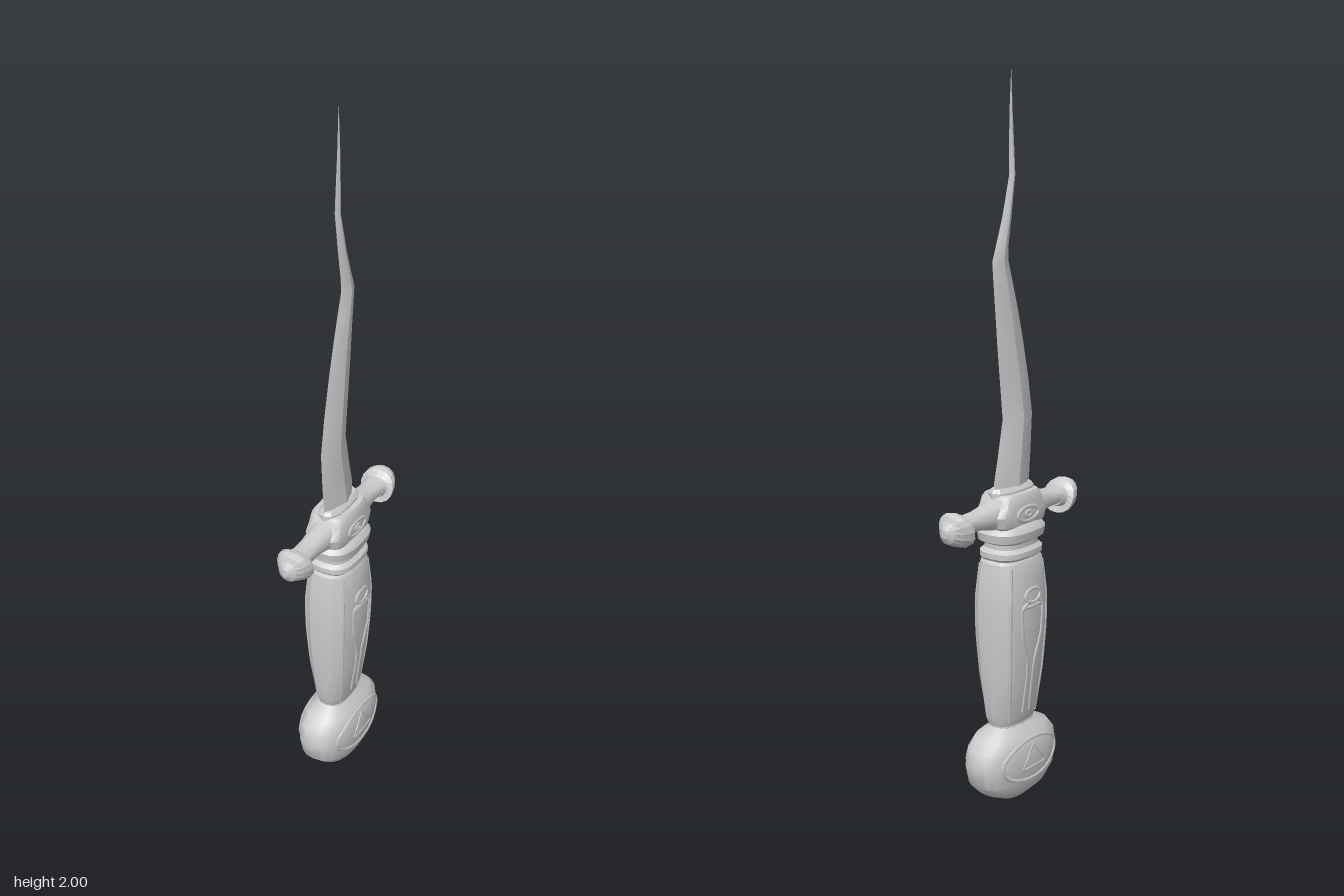
import * as THREE from 'three';
import { toCreasedNormals } from 'three/addons/utils/BufferGeometryUtils.js';

const material = new THREE.MeshStandardMaterial({ color: 0xcccccc });

// Stack of rounded-box cross-sections; each row is [y, halfX, halfZ, centreZ].
// power 1 = diamond, 2 = ellipse, higher = boxier.
function loft(rows, sides, power, crease = 0.5) {
  const pos = [], idx = [];
  const bend = (v) => Math.sign(v) * Math.abs(v) ** (2 / power);
  for (const [y, hx, hz, cz = 0] of rows) {
    for (let j = 0; j < sides; j++) {
      const a = (j / sides) * Math.PI * 2;
      pos.push(bend(Math.cos(a)) * hx, y, cz + bend(Math.sin(a)) * hz);
    }
  }
  const last = (rows.length - 1) * sides, bottom = rows.length * sides;
  const end = rows[rows.length - 1];
  pos.push(0, rows[0][0], rows[0][3] || 0, 0, end[0], end[3] || 0);
  for (let j = 0; j < sides; j++) {
    const k = (j + 1) % sides;
    for (let i = 0; i < last; i += sides) {
      idx.push(i + j, i + sides + j, i + k, i + k, i + sides + j, i + sides + k);
    }
    idx.push(bottom, j, k, bottom + 1, last + k, last + j);
  }
  const g = new THREE.BufferGeometry();
  g.setAttribute('position', new THREE.Float32BufferAttribute(pos, 3));
  g.setIndex(idx);
  return toCreasedNormals(g, crease);
}

// Half width in x of a loft at a given height and z
function surfaceX(rows, power, y, z) {
  let i = 0;
  while (i < rows.length - 2 && rows[i + 1][0] < y) i++;
  const t = (y - rows[i][0]) / (rows[i + 1][0] - rows[i][0]);
  const hx = THREE.MathUtils.lerp(rows[i][1], rows[i + 1][1], t);
  const hz = THREE.MathUtils.lerp(rows[i][2], rows[i + 1][2], t);
  return hx * Math.max(0, 1 - Math.abs(z / hz) ** power) ** (1 / power);
}

export function createModel() {
  const model = new THREE.Group();
  const add = (name, geometry) => {
    const mesh = new THREE.Mesh(geometry, material);
    mesh.name = name;
    model.add(mesh);
    return mesh;
  };

  // Raised line through [z, y] points, laid on both broad faces of a loft
  const relief = (name, rows, power, points, closed, radius = 0.006) => {
    for (const side of [-1, 1]) {
      const path = new THREE.CatmullRomCurve3(
        points.map(([z, y]) => new THREE.Vector3(side * (surfaceX(rows, power, y, z) - 0.002), y, z)),
        closed, 'catmullrom', 0.2);
      add(name, new THREE.TubeGeometry(path, points.length * 5, radius, 5, closed));
    }
  };
  const oval = (y, hz, hy, n = 20) => Array.from({ length: n }, (_, i) => {
    const a = (i / n) * Math.PI * 2;
    return [Math.cos(a) * hz, y + Math.sin(a) * hy];
  });

  // Pommel
  const pommel = [
    [0, 0.015, 0.02], [0.012, 0.04, 0.06], [0.04, 0.068, 0.115], [0.075, 0.08, 0.15],
    [0.13, 0.083, 0.164], [0.175, 0.08, 0.155], [0.205, 0.068, 0.13], [0.225, 0.045, 0.085],
    [0.238, 0.038, 0.07],
  ];
  add('pommel', loft(pommel, 24, 2.5, 0.6));
  relief('pommelRim', pommel, 2.5, oval(0.135, 0.118, 0.058), true);
  relief('pommelTriangle', pommel, 2.5,
    [[-0.05, 0.112], [0, 0.112], [0.05, 0.112], [0.025, 0.145], [0, 0.178], [-0.025, 0.145]], true, 0.005);

  // Grip
  const grip = [
    [0.21, 0.045, 0.08], [0.235, 0.042, 0.078], [0.26, 0.05, 0.088], [0.38, 0.066, 0.099],
    [0.5, 0.076, 0.106], [0.6, 0.078, 0.106], [0.67, 0.073, 0.101], [0.71, 0.066, 0.094],
    [0.728, 0.055, 0.082],
  ];
  add('grip', loft(grip, 16, 2.6, 0.4));
  for (const s of [-1, 1]) {
    relief('gripBorder', grip, 2.6,
      [[0.058, 0.25], [0.07, 0.38], [0.078, 0.5], [0.078, 0.6], [0.068, 0.7]].map(([z, y]) => [s * z, y]), false, 0.005);
    relief('gripOrnamentSide', grip, 2.6,
      [[0.015, 0.27], [0.012, 0.36], [0.015, 0.42], [0.04, 0.5], [0.045, 0.58], [0.02, 0.6]].map(([z, y]) => [s * z, y]), false);
  }
  relief('gripOrnamentBand', grip, 2.6, [[-0.04, 0.585], [0, 0.585], [0.04, 0.585]], false);
  relief('gripOrnamentTop', grip, 2.6, oval(0.615, 0.032, 0.02, 10), true);

  // Collar rings between grip and guard
  add('collar', loft([
    [0.715, 0.058, 0.085], [0.725, 0.068, 0.092], [0.74, 0.068, 0.092], [0.75, 0.057, 0.08],
    [0.763, 0.057, 0.08], [0.772, 0.07, 0.098], [0.795, 0.074, 0.102], [0.81, 0.066, 0.09],
    [0.822, 0.05, 0.075],
  ], 20, 2.8, 0.6));

  // Guard block and the seat of the blade
  const block = [
    [0.795, 0.05, 0.07], [0.815, 0.058, 0.1], [0.845, 0.06, 0.11], [0.87, 0.058, 0.09],
    [0.89, 0.056, 0.082], [0.9, 0.05, 0.075],
  ];
  add('guardBlock', loft(block, 16, 4, 0.5));
  relief('guardEye', block, 4, oval(0.843, 0.045, 0.02, 14), true, 0.006);
  relief('guardPupil', block, 4, oval(0.843, 0.012, 0.008, 8), true, 0.006);
  add('bladeSeat', loft([[0.89, 0.035, 0.083], [0.905, 0.035, 0.083], [0.915, 0.026, 0.076]], 12, 2.6));

  // Guard arms with flared, drooping ends: lofted upward, then laid along z
  const arm = loft([
    [0.06, 0.042, 0.045], [0.1, 0.036, 0.036], [0.15, 0.031, 0.026], [0.195, 0.031, 0.024],
    [0.215, 0.038, 0.03, 0.004],
  ], 14, 2.4, 0.6).rotateX(Math.PI / 2).translate(0, 0.845, 0);
  const cap = loft([
    [0.19, 0.03, 0.024], [0.21, 0.034, 0.03], [0.218, 0.052, 0.047], [0.232, 0.05, 0.05],
    [0.25, 0.042, 0.044], [0.268, 0.026, 0.03], [0.28, 0.008, 0.012],
  ], 16, 2.2, 0.6);
  // lean the cap so its lower rim curls back toward the grip
  const p = cap.attributes.position;
  for (let i = 0; i < p.count; i++) {
    const z = p.getZ(i);
    if (p.getY(i) > 0.212 && p.getY(i) < 0.26) p.setY(i, p.getY(i) - z * 0.3);
  }
  cap.computeVertexNormals();
  cap.rotateX(Math.PI / 2).translate(0, 0.838, 0);
  for (const turn of [0, Math.PI]) {
    add('guardArm', arm).rotation.y = turn;
    add('guardEnd', cap).rotation.y = turn;
  }

  // Wavy blade: [y, half thickness, front edge z, back edge z]
  const edges = [
    [0.9, 0.028, 0.075, -0.07], [0.93, 0.026, 0.08, -0.075], [1.0, 0.025, 0.086, -0.058],
    [1.1, 0.023, 0.092, -0.037], [1.2, 0.021, 0.075, -0.048], [1.31, 0.018, 0.05, -0.06],
    [1.4, 0.016, 0.026, -0.068], [1.46, 0.015, 0.007, -0.074], [1.52, 0.013, -0.012, -0.079],
    [1.56, 0.012, -0.011, -0.064], [1.63, 0.01, 0.001, -0.038], [1.74, 0.007, 0.017, -0.008],
    [1.82, 0.005, 0.012, -0.009], [1.9, 0.003, 0.006, -0.007], [2, 0.0005, 0.0005, -0.0005],
  ];
  add('blade', loft(edges.map(([y, t, f, b]) => [y, t, (f - b) / 2, (f + b) / 2]), 8, 1.35, 0.35));

  return model;
}
